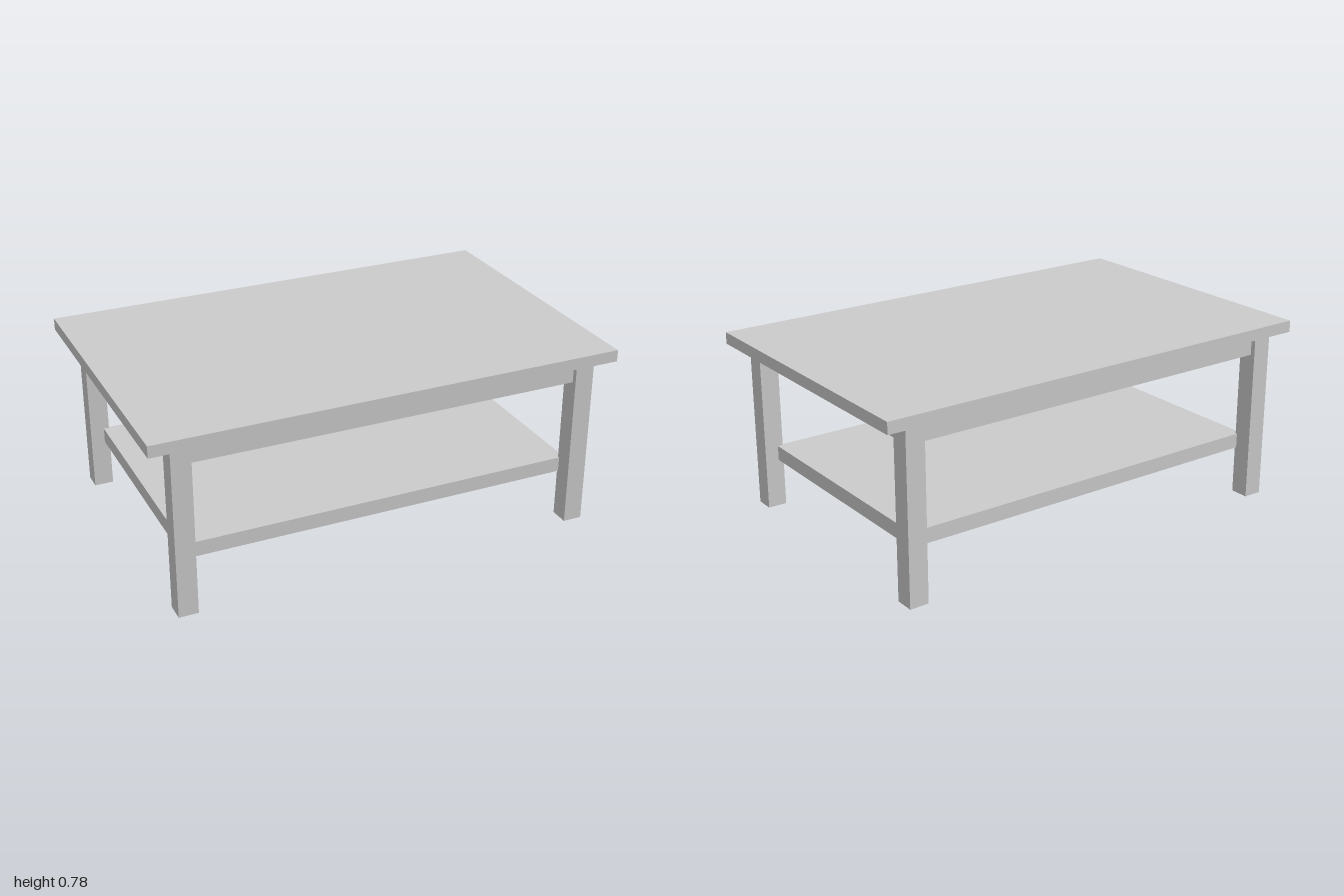
import * as THREE from 'three';

export function createModel() {
  const group = new THREE.Group();
  const material = new THREE.MeshStandardMaterial({ color: 0xcccccc, flatShading: true });

  // Box given by its size, centre and bottom height
  const box = (name, w, h, d, x, y, z) => {
    const mesh = new THREE.Mesh(new THREE.BoxGeometry(w, h, d), material);
    mesh.name = name;
    mesh.position.set(x, y + h / 2, z);
    group.add(mesh);
  };

  const legX = 0.868, legZ = 0.563, leg = 0.082, legH = 0.73;

  box('tableTop', 2, 0.05, 1.266, 0, legH, 0);
  box('lowerShelf', 1.7, 0.064, 1.06, 0, 0.208, 0);

  // Four square legs
  for (const [sx, xName] of [[1, 'Left'], [-1, 'Right']])
    for (const [sz, zName] of [[1, 'front'], [-1, 'back']])
      box(`${zName}${xName}Leg`, leg, legH, leg, sx * legX, 0, sz * legZ);

  // Apron rails between the legs, set slightly back from their outer faces
  const railH = 0.082, railT = 0.04, railY = legH - railH;
  for (const s of [1, -1]) {
    box(s > 0 ? 'frontApron' : 'backApron', 2 * legX - leg, railH, railT, 0, railY, s * 0.563);
    box(s > 0 ? 'leftApron' : 'rightApron', railT, railH, 2 * legZ - leg, s * 0.868, railY, 0);
  }
  return group;
}
